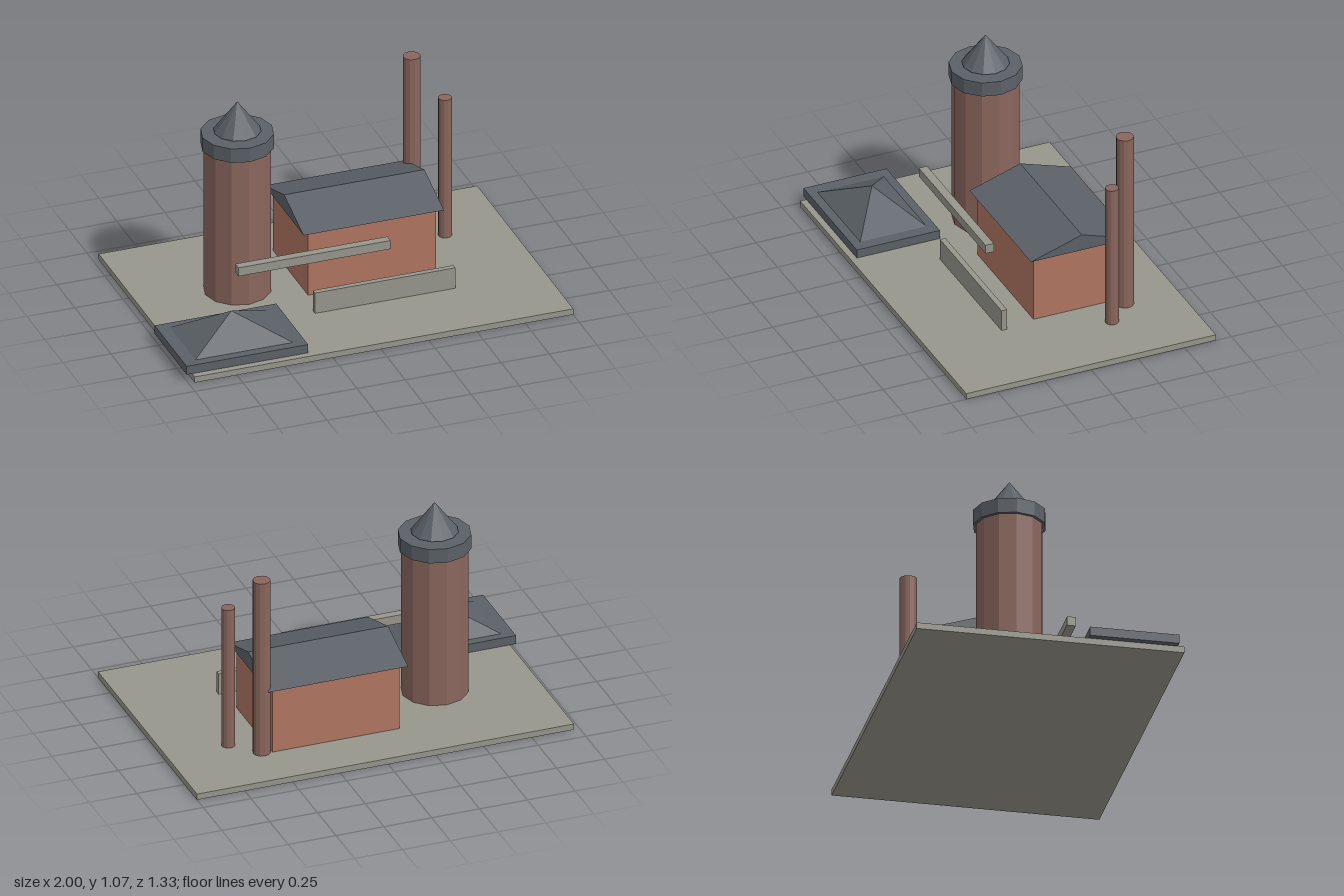
import * as THREE from 'three';

const material = (name, color) => {
  const m = new THREE.MeshStandardMaterial({ color, flatShading: true });
  m.name = name;
  return m;
};

export function createModel() {
  const model = new THREE.Group();
  model.name = 'industrialYard';

  const concrete = material('concrete grey', 0x97968c);
  const brick = material('brick orange', 0xb07560);
  const darkBrick = material('dark brick', 0x8a665d);
  const slate = material('slate grey', 0x5b6167);

  const add = (name, geometry, mat, x = 0, y = 0, z = 0) => {
    const mesh = new THREE.Mesh(geometry, mat);
    mesh.name = name;
    mesh.position.set(x, y, z);
    model.add(mesh);
    return mesh;
  };

  // Box given by its extents on each axis
  const box = (name, mat, [x0, x1], [y0, y1], [z0, z1]) =>
    add(name, new THREE.BoxGeometry(x1 - x0, y1 - y0, z1 - z0), mat,
      (x0 + x1) / 2, (y0 + y1) / 2, (z0 + z1) / 2);

  // Twelve-sided upright cylinder or cone
  const column = (name, mat, x, z, r, y0, y1, topR = r) =>
    add(name, topR > 0
      ? new THREE.CylinderGeometry(topR, r, y1 - y0, 12)
      : new THREE.ConeGeometry(r, y1 - y0, 12), mat, x, (y0 + y1) / 2, z);

  const ground = 0.032;
  box('groundSlab', concrete, [-0.97, 1], [0, ground], [-0.667, 0.667]);

  // Round tower with cap and raised cone
  column('tower', darkBrick, -0.463, -0.096, 0.166, ground, 0.83);
  column('towerCap', slate, -0.463, -0.096, 0.181, 0.83, 0.907);
  column('towerCone', slate, -0.463, -0.096, 0.118, 0.916, 1.073, 0);

  // Brick hall with gabled roof
  box('hall', brick, [-0.162, 0.503], [ground, 0.384], [-0.402, 0.084]);
  const gable = new THREE.Shape([
    new THREE.Vector2(-0.271, 0),
    new THREE.Vector2(0.271, 0),
    new THREE.Vector2(0, 0.087),
  ]);
  const roof = new THREE.ExtrudeGeometry(gable, { depth: 0.73, bevelEnabled: false });
  roof.rotateY(Math.PI / 2);
  add('hallRoof', roof, slate, -0.195, 0.384, -0.16);

  // Chimneys
  column('tallChimney', darkBrick, 0.552, -0.382, 0.044, ground, 0.987);
  column('shortChimney', darkBrick, 0.678, -0.256, 0.034, ground, 0.796);

  // Low wall and overhead beam
  box('lowWall', concrete, [-0.195, 0.535], [ground, 0.145], [0.24, 0.269]);
  box('overheadBeam', concrete, [-0.572, 0.219], [0.281, 0.328], [0.168, 0.212]);

  // Pavilion with hipped roof
  box('pavilionBase', slate, [-1, -0.368], [0.034, 0.08], [0.191, 0.635]);
  const pyramid = new THREE.ConeGeometry(Math.SQRT1_2, 1, 4);
  pyramid.rotateY(Math.PI / 4);
  add('pavilionRoof', pyramid, slate, -0.684, 0.147, 0.412).scale.set(0.508, 0.134, 0.354);

  return model;
}
